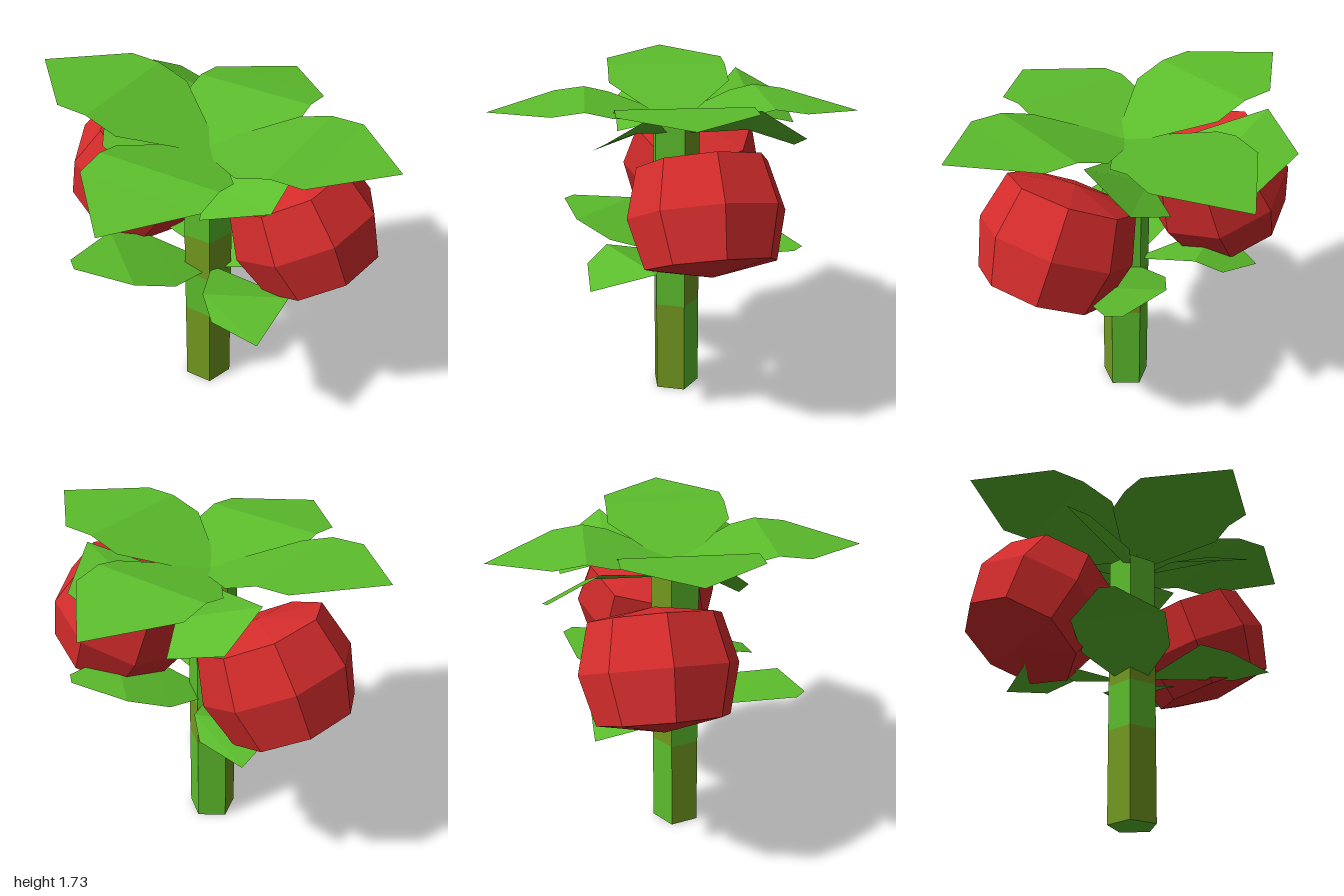
import * as THREE from 'three';

const leafGreen = new THREE.MeshStandardMaterial({ name: 'leafGreen', color: 0x5cbd2c, flatShading: true, side: THREE.DoubleSide });
const stemOlive = new THREE.MeshStandardMaterial({ name: 'stemOlive', color: 0x72991f, flatShading: true });
const berryRed = new THREE.MeshStandardMaterial({ name: 'berryRed', color: 0xd62c2c, flatShading: true });

function surface(name, points, index) {
  const geo = new THREE.BufferGeometry();
  geo.setAttribute('position', new THREE.Float32BufferAttribute(points.flat(), 3));
  geo.setIndex(index);
  geo.computeVertexNormals();
  const mesh = new THREE.Mesh(geo, leafGreen);
  mesh.name = name;
  return mesh;
}

// Leaf from cross rows [distance from stem, height, half width], growing along +z, then turned
function leaf(name, rows, angle) {
  const points = [], index = [];
  rows.forEach(([u, y, w], i) => {
    points.push([-w, y, u], [w, y, u]);
    if (i) {
      const a = 2 * i - 2;
      index.push(a, a + 2, a + 3, a, a + 3, a + 1);
    }
  });
  const mesh = surface(name, points, index);
  mesh.rotation.y = angle;
  return mesh;
}

// Leaf that widens from the stem to a fold (two ends), then drops to an outer edge (two ends)
function foldedLeaf(name, sx, sz, baseY, ...corners) {
  const points = [[0.04, baseY, 0.04], ...corners].map(([x, y, z]) => [x * sx, y, z * sz]);
  const upward = sx * sz > 0;
  return surface(name, points, upward ? [0, 2, 1, 2, 4, 3, 2, 3, 1] : [0, 1, 2, 2, 3, 4, 2, 1, 3]);
}

// Five-sided stem with colour bands that differ between the front and back sides
function makeStem() {
  const geo = new THREE.CylinderGeometry(0.13, 0.13, 1.5, 5, 6, false, -Math.PI / 5);
  const frontBands = [0, 0, 1, 0, 1, 1], backBands = [1, 0, 0, 1, 0, 0]; // top to bottom
  geo.clearGroups();
  for (let side = 0; side < 5; side++) {
    const bands = side === 2 || side === 3 ? backBands : frontBands;
    bands.forEach((m, row) => geo.addGroup((side * 6 + row) * 6, 6, m));
  }
  geo.addGroup(180, 30, 0); // end caps
  const stem = new THREE.Mesh(geo, [leafGreen, stemOlive]);
  stem.name = 'stem';
  stem.position.set(-0.012, 0.75, 0);
  return stem;
}

export function createModel() {
  const model = new THREE.Group();
  model.name = 'berryPlant';
  model.add(makeStem());

  // Two faceted berries, leaning in towards the stem
  const profile = [[0, -0.305], [0.325, -0.245], [0.39, 0], [0.325, 0.245], [0, 0.295]];
  const berryGeo = new THREE.LatheGeometry(profile.map(p => new THREE.Vector2(...p)), 8);
  for (const [name, x, z, yaw] of [['leftBerry', 0.49, -0.11, 0.1], ['rightBerry', -0.512, -0.14, Math.PI + 0.08]]) {
    const berry = new THREE.Mesh(berryGeo, berryRed);
    berry.name = name;
    berry.position.set(x, 1.15, z);
    berry.rotation.set(0, yaw, 0.445);
    model.add(berry);
  }

  // Four broad crown leaves: front and back droop, the sides rise
  const crown = [
    ['frontCrownLeaf', 0.46, 1.62, 0.62, 1.60, 0.955, 1.56, 0],
    ['leftCrownLeaf', 0.5, 1.67, 0.67, 1.672, 1, 1.68, Math.PI / 2],
    ['backCrownLeaf', 0.46, 1.615, 0.62, 1.59, 0.96, 1.53, Math.PI],
    ['rightCrownLeaf', 0.5, 1.70, 0.67, 1.71, 1, 1.73, -Math.PI / 2],
  ];
  for (const [name, u1, y1, u2, y2, u3, y3, angle] of crown) {
    const yIn = 1.51 + (y1 - 1.51) * 0.33 / u1;
    model.add(leaf(name, [[0, 1.51, 0.06], [0.33, yIn, 0.325], [u1, y1, 0.325], [u2, y2, 0.325], [u3, y3, 0]], angle));
  }

  // Four folded leaves under the crown: the x-side end is high, the z-side end low
  model.add(
    foldedLeaf('upperLeaf', 1, 1, 1.44, [0.56, 1.65, 0.15], [0.11, 1.46, 0.2], [0.54, 1.52, 0.37], [0.2, 1.40, 0.43]),
    foldedLeaf('upperLeaf', -1, 1, 1.44, [0.51, 1.65, 0.15], [0.12, 1.45, 0.15], [0.44, 1.53, 0.29], [0.2, 1.40, 0.29]),
    foldedLeaf('upperLeaf', 1, -1, 1.44, [0.49, 1.65, 0.36], [0.12, 1.47, 0.36], [0.41, 1.49, 0.60], [0.17, 1.40, 0.59]),
    foldedLeaf('upperLeaf', -1, -1, 1.44, [0.59, 1.66, 0.40], [0.15, 1.48, 0.46], [0.57, 1.52, 0.65], [0.27, 1.41, 0.68]),
  );

  // Lower leaves: one diagonal pair rises to level tips, the other folds over and droops
  const rising = [[0.06, 0.79, 0.08], [0.26, 0.86, 0.23], [0.48, 0.935, 0.24], [0.74, 0.955, 0.04]];
  for (const s of [1, -1]) {
    model.add(leaf('lowerRisingLeaf', rising, s * Math.PI / 2 + Math.PI / 4 + 0.08));
    model.add(foldedLeaf('lowerDroopingLeaf', s, s, 0.8, [0.55, 0.87, 0.14], [0.18, 0.90, 0.37], [0.54, 0.79, 0.46], [0.29, 0.84, 0.47]));
  }
  return model;
}
